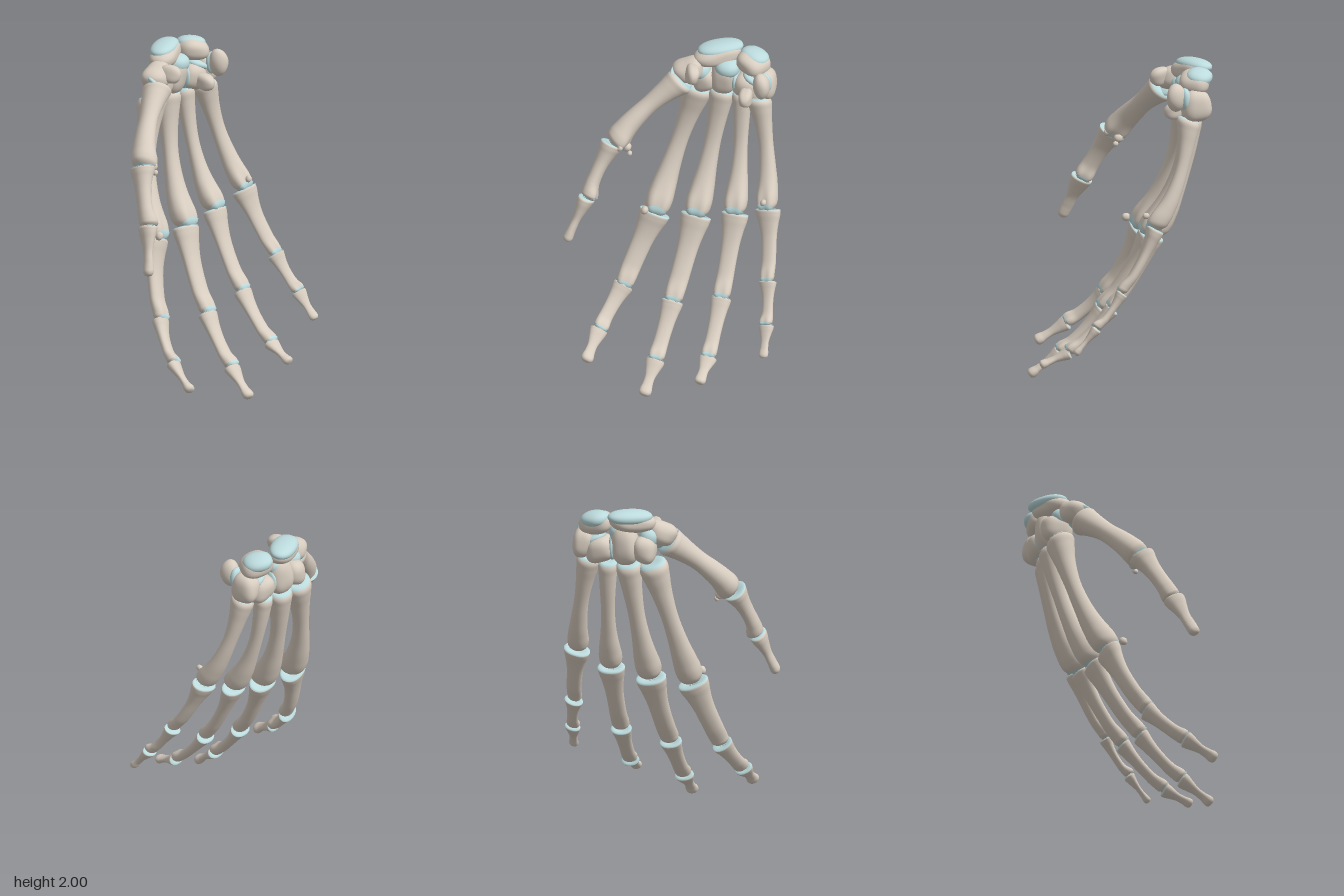
import * as THREE from 'three';

const boneMat = new THREE.MeshStandardMaterial({ color: 0xd8cdc0 });
const cartilageMat = new THREE.MeshStandardMaterial({ color: 0xbcdadc });
const V = (a) => new THREE.Vector3(...a);

// Closed-ring surface from a point rule f(u, v); u runs along, v around.
function surface(f, rows, cols) {
  const pos = [], idx = [];
  for (let i = 0; i <= rows; i++) {
    for (let j = 0; j < cols; j++) {
      const p = f(i / rows, (j / cols) * Math.PI * 2);
      pos.push(p.x, p.y, p.z);
      if (i === rows) continue;
      const a = i * cols + j, b = i * cols + (j + 1) % cols;
      idx.push(a, b, a + cols, b, b + cols, a + cols);
    }
  }
  const g = new THREE.BufferGeometry();
  g.setAttribute('position', new THREE.Float32BufferAttribute(pos, 3));
  g.setIndex(idx);
  g.computeVertexNormals();
  return g;
}

function add(group, name, geometry, material) {
  const m = new THREE.Mesh(geometry, material);
  m.name = name;
  group.add(m);
  return m;
}

// Profiles: [position along bone, base weight, shaft weight, head weight]
const PROFILES = {
  metacarpal: [[0, 0, 0, 0], [0, .75, 0, 0], [.03, 1, 0, 0], [.1, .88, .1, 0], [.22, .3, .75, 0], [.42, 0, 1, 0],
    [.62, 0, .9, .15], [.8, 0, .2, .8], [.9, 0, 0, 1], [.96, 0, 0, .88], [.995, 0, 0, .5], [1, 0, 0, 0]],
  phalanx: [[.035, 0, 0, 0], [.005, .7, 0, 0], [.01, .98, 0, 0], [.07, 1, 0, 0], [.18, .6, .4, 0], [.36, .1, .93, 0],
    [.6, 0, 1, 0], [.78, 0, .6, .4], [.9, 0, 0, 1], [.96, 0, 0, .92], [.995, 0, 0, .55], [.985, 0, 0, 0]],
  distal: [[.03, 0, 0, 0], [0, .7, 0, 0], [.02, .98, 0, 0], [.1, 1, 0, 0], [.28, .45, .6, 0], [.5, 0, 1, 0],
    [.7, 0, .8, .2], [.84, 0, 0, 1], [.94, 0, 0, .9], [.99, 0, 0, .5], [1, 0, 0, 0]],
};

// One long bone with cartilage on its ends. radii = [base, shaft, head]
function longBone(name, kind, a, b, palm, radii, depth, bow) {
  const g = new THREE.Group();
  g.name = name;
  const axis = b.clone().sub(a), d = axis.clone().normalize();
  const n = palm.clone().addScaledVector(d, -palm.dot(d)).normalize();
  const s = n.clone().cross(d);
  const curve = new THREE.CatmullRomCurve3(PROFILES[kind].map(([t, x, y, z]) =>
    new THREE.Vector3(t, x * radii[0] + y * radii[1] + z * radii[2], 0)));
  const point = (u, v, grow = 0) => {
    const q = curve.getPoint(u), t = q.x;
    let w = Math.max(q.y, 0);
    const up = Math.sin(v), end = THREE.MathUtils.smoothstep(t, .72, .93);
    // groove between the two condyles, flatter palm side on the shaft
    const groove = kind === 'distal' ? 0 : .24 * end * Math.exp(-(((v - Math.PI / 2) / .45) ** 2));
    const flat = up > 0 ? 1 - .18 * Math.sin(Math.PI * Math.min(Math.max(t, 0), 1)) : 1;
    if (w > .004) w += grow;
    const x = w * Math.sign(Math.cos(v)) * Math.abs(Math.cos(v)) ** .9;
    const y = w * (depth + .12 * end) * up * flat * (1 - groove);
    const arch = -bow * Math.sin(Math.PI * t) + .012 * end * (kind === 'distal' ? 0 : 1);
    return a.clone().addScaledVector(axis, t).addScaledVector(d, grow * (t > .5 ? 1 : -1))
      .addScaledVector(s, x).addScaledVector(n, y + arch);
  };
  add(g, 'shaft', surface(point, 56, 28), boneMat);
  const baseEnd = kind === 'metacarpal' ? .14 : .2;
  add(g, 'baseCartilage', surface((u, v) => point(u * baseEnd, v, .003), 8, 28), cartilageMat);
  // head cartilage reaches further up the palm side, in two lobes
  if (kind !== 'distal') {
    add(g, 'headCartilage', surface((u, v) => {
      const edge = .835 - .055 * Math.sin(v) + .025 * Math.cos(2 * v);
      return point(edge + (1 - edge) * u, v, .004);
    }, 14, 28), cartilageMat);
  }
  return g;
}

// Rounded, slightly faceted pebble for the wrist bones
function stone(group, name, c, r, rot = [0, 0, 0], material = boneMat, seed = 1, power = .8) {
  const pw = (x) => Math.sign(x) * Math.abs(x) ** power;
  const geo = surface((u, v) => {
    const lat = (u - .5) * Math.PI, cl = Math.cos(lat);
    const x = pw(Math.cos(v)) * pw(cl), z = pw(-Math.sin(v)) * pw(cl), y = pw(Math.sin(lat));
    const k = material === boneMat
      ? 1 + .07 * Math.sin(2.6 * x + seed * 1.7) * Math.cos(2.3 * y + seed) + .05 * Math.sin(3 * z + seed * 2.3) : 1;
    return new THREE.Vector3(x * r[0] * k, y * r[1] * k, z * r[2] * k);
  }, 24, 32);
  const m = add(group, name, geo, material);
  m.position.set(...c);
  m.rotation.set(...rot);
  return m;
}

// Joints run from wrist to tip; radii are [base, shaft, head] per bone
const DIGITS = [
  { name: 'thumb', palm: [.9, -.35, .25], depth: [.95, .85, .75], bow: [.02, .008, 0],
    joints: [[-.06, 1.775, -.3], [-.425, 1.415, -.05], [-.54, 1.11, .115], [-.64, .845, .225]],
    radii: [[.09, .062, .078], [.08, .052, .058], [.065, .036, .036]] },
  { name: 'indexFinger', palm: [.15, 0, 1],
    joints: [[.01, 1.665, -.42], [-.195, .87, -.18], [-.34, .44, .015], [-.435, .24, .225], [-.468, .12, .415]],
    radii: [[.088, .052, .08], [.092, .06, .056], [.062, .044, .048], [.053, .031, .038]] },
  { name: 'middleFinger', palm: [0, 0, 1],
    joints: [[.155, 1.66, -.43], [.06, .89, -.185], [-.015, .425, .085], [-.054, .155, .335], [-.078, .012, .52]],
    radii: [[.075, .05, .078], [.09, .06, .058], [.064, .046, .05], [.056, .031, .038]] },
  { name: 'ringFinger', palm: [0, 0, 1],
    joints: [[.28, 1.66, -.42], [.302, .945, -.185], [.285, .495, .075], [.274, .232, .335], [.263, .155, .51]],
    radii: [[.058, .042, .07], [.08, .052, .054], [.06, .043, .047], [.052, .03, .034]] },
  { name: 'littleFinger', palm: [-.15, 0, 1],
    joints: [[.4, 1.68, -.37], [.515, 1.035, -.15], [.572, .66, .065], [.607, .455, .225], [.622, .305, .36]],
    radii: [[.072, .045, .064], [.078, .047, .045], [.053, .034, .042], [.046, .025, .029]] },
];

export function createModel() {
  const hand = new THREE.Group();
  hand.name = 'handSkeleton';

  // Digits
  for (const { name, palm, joints, radii, depth = [.98, .68, .7, .68], bow = [.045, .015, .008, 0] } of DIGITS) {
    const digit = new THREE.Group();
    digit.name = name;
    const parts = joints.length === 5
      ? ['metacarpal', 'proximalPhalanx', 'middlePhalanx', 'distalPhalanx']
      : ['metacarpal', 'proximalPhalanx', 'distalPhalanx'];
    parts.forEach((part, i) => {
      const last = i === parts.length - 1;
      const kind = i === 0 ? 'metacarpal' : last ? 'distal' : 'phalanx';
      digit.add(longBone(part, kind, V(joints[i]), V(joints[i + 1]), V(palm), radii[i], depth[i], bow[i]));
    });
    hand.add(digit);
  }

  // Small round bones beside the knuckles
  const sesamoids = [[-.24, .925, -.1, .024], [.5, 1.115, -.095, .019], [-.34, 1.39, -.07, .026], [-.37, 1.42, -.01, .022],
    [-.32, 1.36, -.05, .016]];
  for (const [x, y, z, r] of sesamoids) stone(hand, 'sesamoid', [x, y, z], [r, r * 1.1, r], [0, 0, 0], boneMat, 2, 1);

  // Wrist bones
  const wrist = new THREE.Group();
  wrist.name = 'wrist';
  hand.add(wrist);
  stone(wrist, 'trapezium', [-.03, 1.835, -.34], [.095, .07, .085], [0, .2, .35], boneMat, 1);
  stone(wrist, 'trapeziumRidge', [.01, 1.855, -.27], [.04, .055, .07], [.2, .4, -.3], boneMat, 3);
  stone(wrist, 'trapezoid', [.055, 1.745, -.42], [.075, .085, .09], [0, 0, .15], boneMat, 2);
  stone(wrist, 'capitate', [.175, 1.775, -.42], [.082, .125, .095], [.1, 0, -.05], boneMat, 4);
  stone(wrist, 'hamate', [.325, 1.735, -.42], [.095, .085, .09], [0, 0, -.2], boneMat, 5);
  stone(wrist, 'hamateHook', [.335, 1.72, -.31], [.042, .05, .075], [.15, .1, 0], boneMat, 3);
  stone(wrist, 'scaphoid', [.13, 1.915, -.43], [.135, .06, .085], [0, .45, .15], boneMat, 6);
  stone(wrist, 'lunate', [.345, 1.9, -.42], [.098, .068, .09], [0, -.35, -.12], boneMat, 7);
  stone(wrist, 'triquetrum', [.43, 1.775, -.42], [.065, .095, .085], [0, 0, .15], boneMat, 8);
  stone(wrist, 'pisiform', [.435, 1.825, -.29], [.048, .08, .064], [0, .3, .1], boneMat, 9, .95);

  // Wrist cartilage
  const pads = [
    ['scaphoidPad', [.14, 1.95, -.45], [.14, .042, .078], [-.1, .5, .08]],
    ['lunatePad', [.355, 1.93, -.445], [.09, .045, .078], [-.2, -.45, -.2]],
    ['capitateHeadPad', [.195, 1.85, -.41], [.078, .058, .085], [0, 0, 0]],
    ['thumbBasePad', [-.065, 1.79, -.31], [.085, .022, .075], [.4, 0, -.75]],
    ['trapeziumPad', [.035, 1.815, -.39], [.06, .06, .07], [0, 0, .3]],
    ['hamatePad', [.37, 1.8, -.41], [.08, .03, .075], [0, 0, -.4]],
    ['capitateHamatePad', [.25, 1.755, -.42], [.022, .08, .075], [0, 0, 0]],
    ['pisiformPad', [.435, 1.81, -.345], [.05, .07, .03], [0, .2, 0]],
  ];
  for (const [name, c, r, rot] of pads) stone(wrist, name, c, r, rot, cartilageMat, 1, .9);

  return hand;
}
